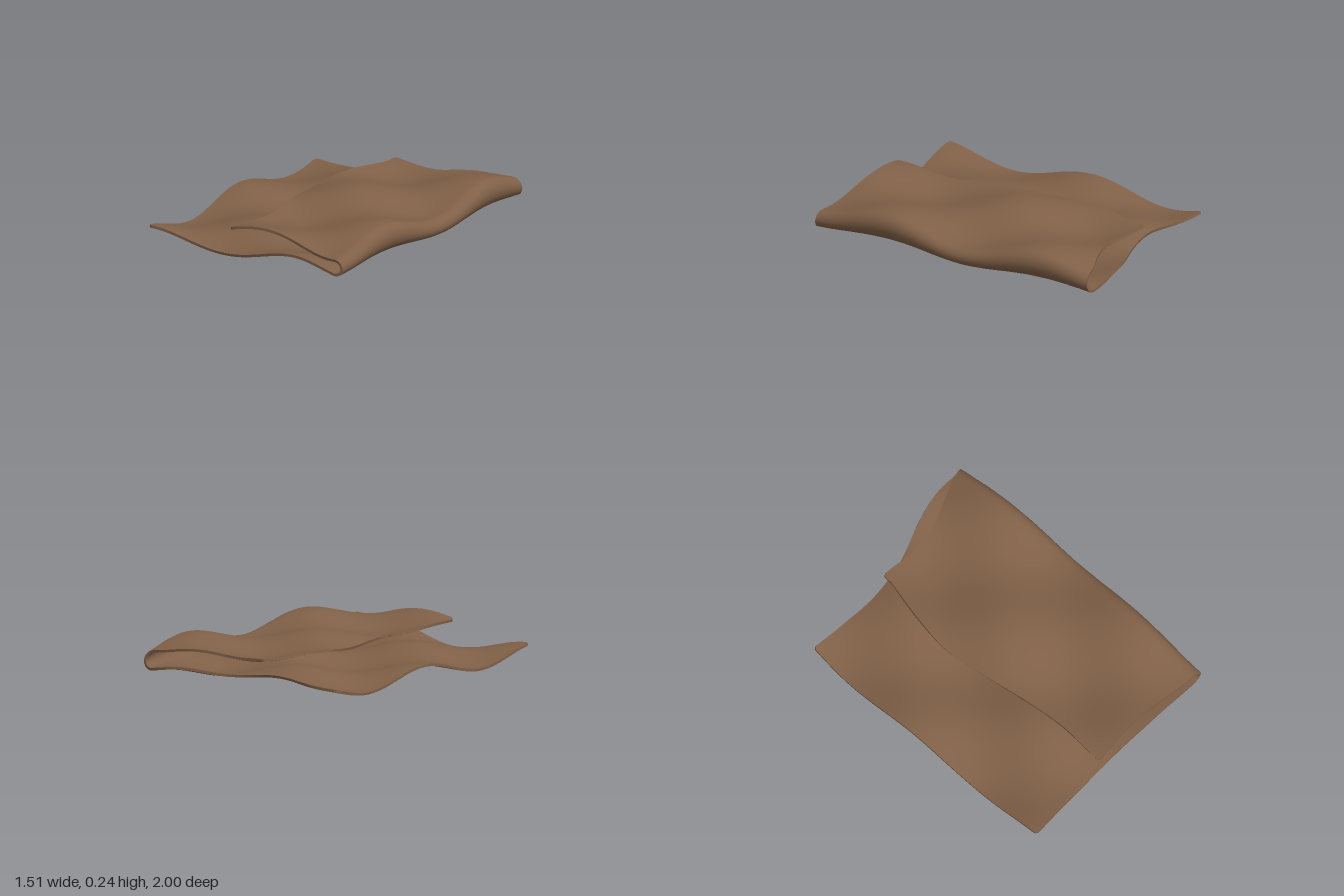
import * as THREE from 'three';
import { toCreasedNormals } from 'three/addons/utils/BufferGeometryUtils.js';

// Smooth curve through [position, value] pairs
function through(points) {
  const slope = points.map((p, i) => {
    const a = points[Math.max(i - 1, 0)], b = points[Math.min(i + 1, points.length - 1)];
    return (b[1] - a[1]) / (b[0] - a[0]);
  });
  return (v) => {
    let i = 0;
    while (i < points.length - 2 && v > points[i + 1][0]) i++;
    const [x0, y0] = points[i], [x1, y1] = points[i + 1], w = x1 - x0;
    const t = THREE.MathUtils.clamp((v - x0) / w, 0, 1), t2 = t * t, t3 = t2 * t;
    return y0 * (2 * t3 - 3 * t2 + 1) + y1 * (3 * t2 - 2 * t3)
      + w * (slope[i] * (t3 - 2 * t2 + t) + slope[i + 1] * (t3 - t2));
  };
}

const FOLD_X = 0.69, RADIUS = 0.06, ARC = Math.PI * RADIUS;
const LOW = 0.0625, HALF = 0.008, AMP = 0.05, WAVE = 0.55, CORNER = 0.03;

// Outline of the cloth: u runs along the lower layer, round the fold and back over the top
const lowerEdge = through([[-0.88, -0.735], [-0.6, -0.75], [-0.3, -0.757], [0.1, -0.75], [0.4, -0.74], [0.95, -0.735]]);
const upperEdge = through([[-0.85, -0.13], [-0.55, -0.2], [-0.28, -0.23], [0.08, -0.19], [0.58, -0.125], [0.94, -0.145]]);
const backEdge = through([[-0.74, -0.89], [-0.5, -0.855], [-0.25, -0.825], [0, -0.855], [0.3, -0.95], [0.55, -0.998],
  [0.75, -0.99], [0.9, -0.96], [1.1, -0.89], [1.3, -0.83], [1.4, -0.825], [1.7, -0.86]]);
const frontEdge = through([[-0.74, 0.955], [-0.25, 0.938], [0, 0.947], [0.3, 0.982], [0.6, 0.998], [0.85, 0.99], [1.1, 0.96], [1.4, 0.935], [1.7, 0.942]]);
const foldInset = through([[-0.98, 0.032], [-0.65, 0.012], [-0.3, 0], [0.3, 0.01], [0.97, 0.03]]);

// Middle surface of the cloth for s along it and t across it, both 0..1
function cloth(s, t) {
  const zGuess = THREE.MathUtils.lerp(-0.9, 0.95, t);
  const u0 = lowerEdge(zGuess), u1 = 2 * FOLD_X + ARC - upperEdge(zGuess);
  const u = THREE.MathUtils.lerp(u0, u1, s);
  const inset = CORNER - Math.min(u - u0, u1 - u, CORNER);
  const round = CORNER - Math.sqrt(Math.max(CORNER ** 2 - inset ** 2, 0));
  const z = THREE.MathUtils.lerp(backEdge(u) + round, frontEdge(u) - round, t);
  let x = u, y = LOW;
  if (u > FOLD_X + ARC) {
    x = 2 * FOLD_X + ARC - u;
    y = LOW + 2 * RADIUS;
  } else if (u > FOLD_X) {
    const a = (u - FOLD_X) / RADIUS;
    x = FOLD_X + RADIUS * Math.sin(a);
    y = LOW + RADIUS * (1 - Math.cos(a));
  }
  x -= foldInset(z) * THREE.MathUtils.smoothstep(x, 0.2, 0.7);
  y += AMP * Math.cos(Math.PI * (u + 0.18) / WAVE) * Math.cos(Math.PI * (z - 0.48) / WAVE);
  return new THREE.Vector3(x, y, z);
}

function clothGeometry(n, m) {
  const inner = [], outer = [], index = [];
  const e = 0.002;
  for (let i = 0; i <= n; i++) {
    const s = (1 - Math.cos(Math.PI * i / n)) / 2;   // finer towards both ends
    for (let j = 0; j <= m; j++) {
      const t = j / m, p = cloth(s, t);
      const sa = THREE.MathUtils.clamp(s, 0.02, 0.98);
      const du = cloth(sa + e, t).sub(cloth(sa - e, t));
      const dz = cloth(sa, Math.min(t + e, 1)).sub(cloth(sa, Math.max(t - e, 0)));
      const normal = dz.cross(du).normalize().multiplyScalar(HALF);
      inner.push(...p.clone().add(normal).toArray());
      outer.push(...p.clone().sub(normal).toArray());
    }
  }
  const id = (i, j) => i * (m + 1) + j, back = (n + 1) * (m + 1);
  // Two faces of the cloth
  for (let i = 0; i < n; i++) for (let j = 0; j < m; j++) {
    const a = id(i, j), b = id(i, j + 1), c = id(i + 1, j + 1), d = id(i + 1, j);
    index.push(a, b, d, b, c, d);
    index.push(back + a, back + d, back + b, back + b, back + d, back + c);
  }
  // Rim joining them
  const rim = [];
  for (let i = 0; i < n; i++) rim.push(id(i, 0));
  for (let j = 0; j < m; j++) rim.push(id(n, j));
  for (let i = n; i > 0; i--) rim.push(id(i, m));
  for (let j = m; j > 0; j--) rim.push(id(0, j));
  rim.forEach((a, k) => {
    const b = rim[(k + 1) % rim.length];
    index.push(a, b, back + a, b, back + b, back + a);
  });
  const geometry = new THREE.BufferGeometry();
  geometry.setAttribute('position', new THREE.Float32BufferAttribute(inner.concat(outer), 3));
  geometry.setIndex(index);
  return toCreasedNormals(geometry, 0.9);
}

export function createModel() {
  const brown = new THREE.MeshStandardMaterial({ color: 0x806047 });
  brown.name = 'brown cloth';
  const group = new THREE.Group();
  group.name = 'foldedBlanket';

  const blanket = new THREE.Mesh(clothGeometry(200, 80), brown);
  blanket.name = 'foldedCloth';
  blanket.geometry.computeBoundingBox();
  blanket.position.y = -blanket.geometry.boundingBox.min.y;
  group.add(blanket);
  return group;
}
